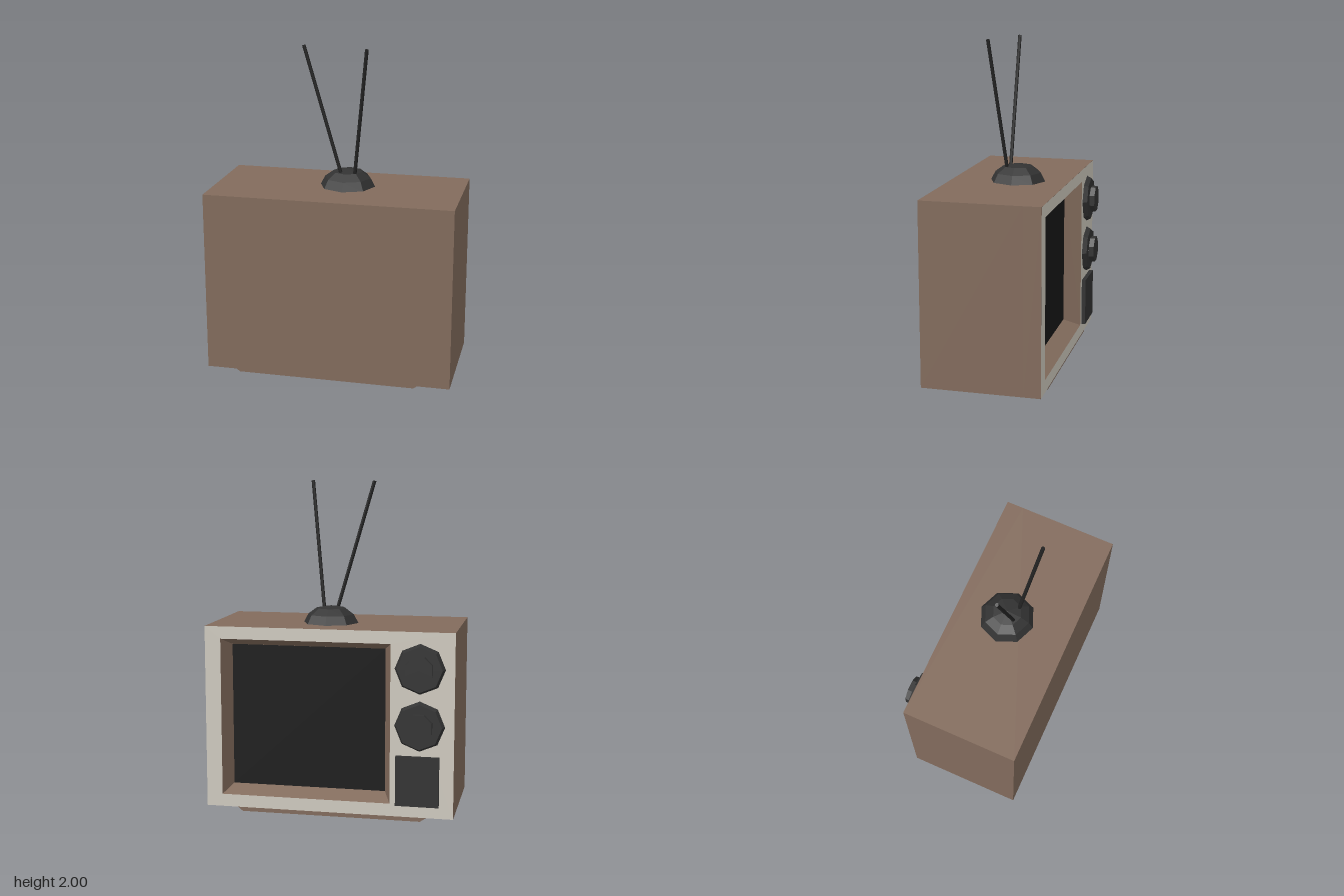
import * as THREE from 'three';

const material = (color) => new THREE.MeshStandardMaterial({ color, flatShading: true });

function rectPath(PathType, x0, y0, x1, y1) {
  const p = new PathType();
  p.moveTo(x0, y0);
  p.lineTo(x1, y0);
  p.lineTo(x1, y1);
  p.lineTo(x0, y1);
  p.closePath();
  return p;
}

// Rectangle with a rectangular opening
function frameShape(outer, inner) {
  const shape = rectPath(THREE.Shape, ...outer);
  shape.holes.push(rectPath(THREE.Path, ...inner));
  return shape;
}

// Four inward-facing walls sloping from a rectangle at z = 0 to a smaller one at z = depth
function funnel(x0, y0, x1, y1, inset, depth) {
  const ring = (i, z) => [[x0 + i, y0 + i, z], [x1 - i, y0 + i, z], [x1 - i, y1 - i, z], [x0 + i, y1 - i, z]];
  const near = ring(0, 0), far = ring(inset, depth);
  const positions = [];
  for (let i = 0; i < 4; i++) {
    const j = (i + 1) % 4;
    positions.push(...near[i], ...far[i], ...near[j], ...far[i], ...far[j], ...near[j]);
  }
  const geometry = new THREE.BufferGeometry();
  geometry.setAttribute('position', new THREE.Float32BufferAttribute(positions, 3));
  geometry.computeVertexNormals();
  return geometry;
}

export function createModel() {
  const group = new THREE.Group();
  const brown = material(0x826b5c);
  const grey = material(0xcfcabf);
  const dark = material(0x323232);
  const rodBlack = material(0x222222);
  const black = material(0x181818);

  const add = (name, geometry, mat, x = 0, y = 0, z = 0, parent = group) => {
    const mesh = new THREE.Mesh(geometry, mat);
    mesh.name = name;
    mesh.position.set(x, y, z);
    parent.add(mesh);
    return mesh;
  };

  const bottom = 0.028, top = 1.138, half = 0.754;
  const faceZ = -0.328, depth = 0.105, screenZ = faceZ + depth, rearZ = 0.387;
  const x0 = -0.375, x1 = 0.657, y0 = 0.104, y1 = 1.063, inset = 0.045;

  // Cabinet: solid block plus a hollow surround in front of the screen
  add('cabinet', new THREE.BoxGeometry(half * 2, top - bottom, rearZ - screenZ), brown,
    0, (top + bottom) / 2, (rearZ + screenZ) / 2);
  const outside = [-half, bottom, half, top];
  add('screenSurround', new THREE.ExtrudeGeometry(frameShape(outside, [x0, y0, x1, y1]),
    { depth: depth - 0.001, bevelEnabled: false }), brown, 0, 0, faceZ + 0.001);

  // Sloping walls leading in to the screen
  add('screenRecess', funnel(x0, y0, x1, y1, inset, depth), brown, 0, 0, faceZ);

  // Grey bezel on the screen side; the opening is mirrored because it is turned to face -z
  add('bezel', new THREE.ShapeGeometry(frameShape(outside, [-x1, y0, -x0, y1])), grey,
    0, 0, faceZ).rotation.y = Math.PI;

  // Recessed screen
  add('screen', new THREE.PlaneGeometry(x1 - x0 - inset * 2, y1 - y0 - inset * 2), black,
    (x0 + x1) / 2, (y0 + y1) / 2, screenZ - 0.001).rotation.y = Math.PI;

  // Tapered plinth
  const plinth = new THREE.Shape([[-0.557, 0], [0.533, 0], [0.568, bottom], [-0.597, bottom]]
    .map(([x, y]) => new THREE.Vector2(x, y)));
  add('plinth', new THREE.ExtrudeGeometry(plinth, { depth: 0.68, bevelEnabled: false }), brown, 0, 0, -0.317);

  // Two octagonal dials
  for (const [name, y] of [['upperDial', 0.92], ['lowerDial', 0.58]]) {
    const dial = new THREE.Group();
    dial.name = name;
    dial.position.set(-0.55, y, faceZ);
    dial.rotation.x = -Math.PI / 2;
    const disc = (part, rTop, rBottom, h0, h1, turn) =>
      add(part, new THREE.CylinderGeometry(rTop, rBottom, h1 - h0, 8).rotateY(turn), dark,
        0, (h0 + h1) / 2, 0, dial);
    disc('dialPlate', 0.135, 0.15, 0, 0.028, 0);
    disc('dialNeck', 0.06, 0.06, 0.028, 0.034, 0);
    disc('dialKnob', 0.085, 0.085, 0.032, 0.064, Math.PI / 8);
    group.add(dial);
  }

  // Speaker panel below the dials
  add('speakerPanel', new THREE.BoxGeometry(0.258, 0.3, 0.026), dark, -0.54, 0.25, faceZ - 0.012);

  // Faceted aerial dome
  const profile = [[0.17, 0], [0.142, 0.052], [0.09, 0.09], [0, 0.105]]
    .map(([r, y]) => new THREE.Vector2(r, y));
  add('aerialDome', new THREE.LatheGeometry(profile, 8), dark, 0.044, top, -0.014);

  // Aerial rods
  const rod = (name, from, to) => {
    const a = new THREE.Vector3(...from), b = new THREE.Vector3(...to);
    const dir = b.clone().sub(a);
    const mesh = add(name, new THREE.CylinderGeometry(0.011, 0.011, dir.length(), 8), rodBlack);
    mesh.position.copy(a).add(b).multiplyScalar(0.5);
    mesh.quaternion.setFromUnitVectors(new THREE.Vector3(0, 1, 0), dir.normalize());
  };
  rod('rightAerial', [0.02, 1.2, 0.04], [-0.213, 1.997, 0.04]);
  rod('leftAerial', [0.096, 1.2, 0.038], [0.187, 1.997, 0.133]);

  // The set sits very slightly turned
  group.rotation.y = 0.0035;
  return group;
}
